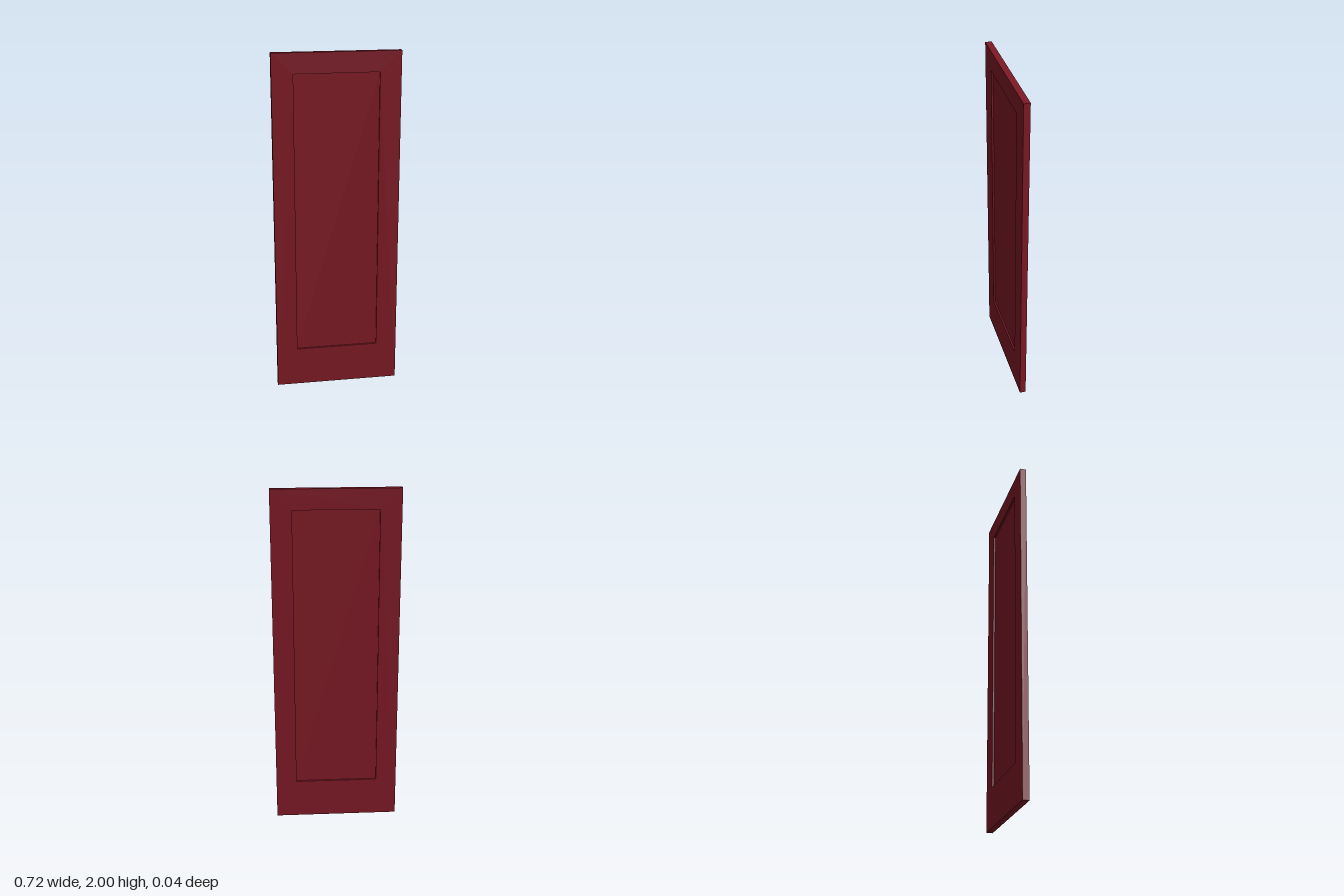
import * as THREE from 'three';

const WIDTH = 0.724, HEIGHT = 2, THICK = 0.036;
const PANEL = { halfWidth: 0.241, bottom: 0.232, top: 1.884, recess: 0.01 };

// Rectangle outline, usable as a shape or as a hole
function rectangle(path, halfWidth, bottom, top) {
  path.moveTo(-halfWidth, bottom);
  path.lineTo(halfWidth, bottom);
  path.lineTo(halfWidth, top);
  path.lineTo(-halfWidth, top);
  path.closePath();
  return path;
}

export function createModel() {
  const door = new THREE.Group();
  door.name = 'door';
  const paint = new THREE.MeshStandardMaterial({ color: 0x7f1a26 });

  // Stiles and rails: one slab with an opening for the panel
  const outline = rectangle(new THREE.Shape(), WIDTH / 2, 0, HEIGHT);
  outline.holes.push(rectangle(new THREE.Path(), PANEL.halfWidth, PANEL.bottom, PANEL.top));
  const frameGeometry = new THREE.ExtrudeGeometry(outline, { depth: THICK, bevelEnabled: false });
  frameGeometry.translate(0, 0, -THICK / 2);
  const frame = new THREE.Mesh(frameGeometry, paint);
  frame.name = 'doorFrame';
  door.add(frame);

  // Centre panel, set back from both faces
  const panel = new THREE.Mesh(
    new THREE.BoxGeometry(PANEL.halfWidth * 2, PANEL.top - PANEL.bottom, THICK - 2 * PANEL.recess),
    paint
  );
  panel.position.y = (PANEL.top + PANEL.bottom) / 2;
  panel.name = 'recessedPanel';
  door.add(panel);

  return door;
}
